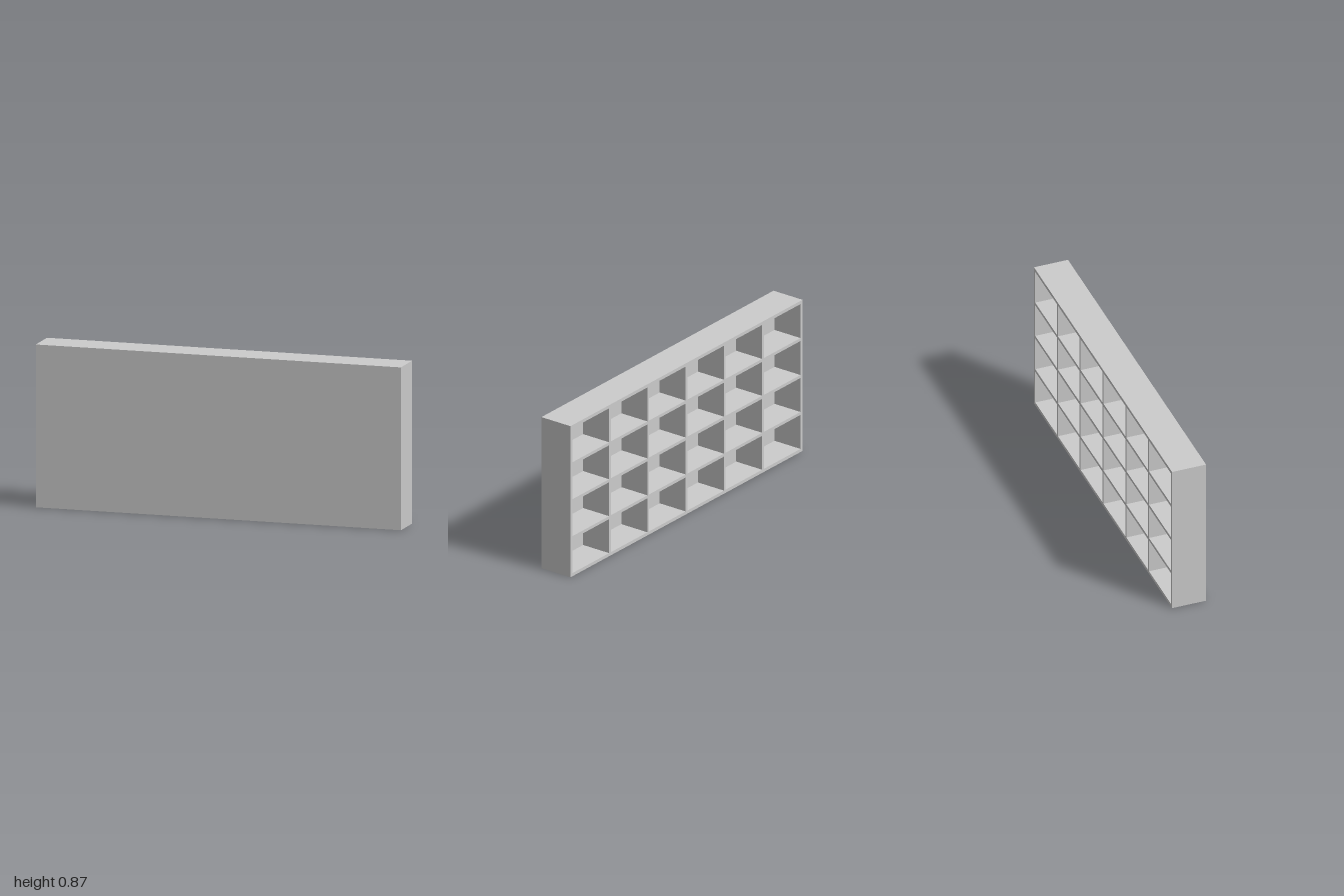
import * as THREE from 'three';

const W = 2, H = 0.865, D = 0.19;
const FACE = 0.02;                   // front panel thickness
const RIM = 0.018;                   // outer wall thickness
const POST = 0.0145, SHELF = 0.017;  // inner divider thicknesses
const COLS = 6, ROWS = 4;

export function createModel() {
  const group = new THREE.Group();
  const material = new THREE.MeshStandardMaterial({ color: 0xcccccc, flatShading: true });

  const add = (name, geometry, z) => {
    const mesh = new THREE.Mesh(geometry, material);
    mesh.name = name;
    mesh.position.set(0, H / 2, z);
    group.add(mesh);
  };

  const rectangle = (target, x, y, w, h) => {
    target.moveTo(x, y).lineTo(x + w, y).lineTo(x + w, y + h).lineTo(x, y + h).closePath();
    return target;
  };

  // Closed panel across the front
  add('frontPanel', new THREE.BoxGeometry(W, H, FACE), D / 2 - FACE / 2);

  // Outer walls and dividers, with compartments open to the back
  const lattice = rectangle(new THREE.Shape(), -W / 2, -H / 2, W, H);
  const cellW = (W - 2 * RIM - (COLS - 1) * POST) / COLS;
  const cellH = (H - 2 * RIM - (ROWS - 1) * SHELF) / ROWS;
  for (let c = 0; c < COLS; c++) {
    for (let r = 0; r < ROWS; r++) {
      const x = -W / 2 + RIM + c * (cellW + POST);
      const y = -H / 2 + RIM + r * (cellH + SHELF);
      lattice.holes.push(rectangle(new THREE.Path(), x, y, cellW, cellH));
    }
  }
  add('compartmentGrid', new THREE.ExtrudeGeometry(lattice, { depth: D - FACE, bevelEnabled: false }), -D / 2);

  return group;
}
